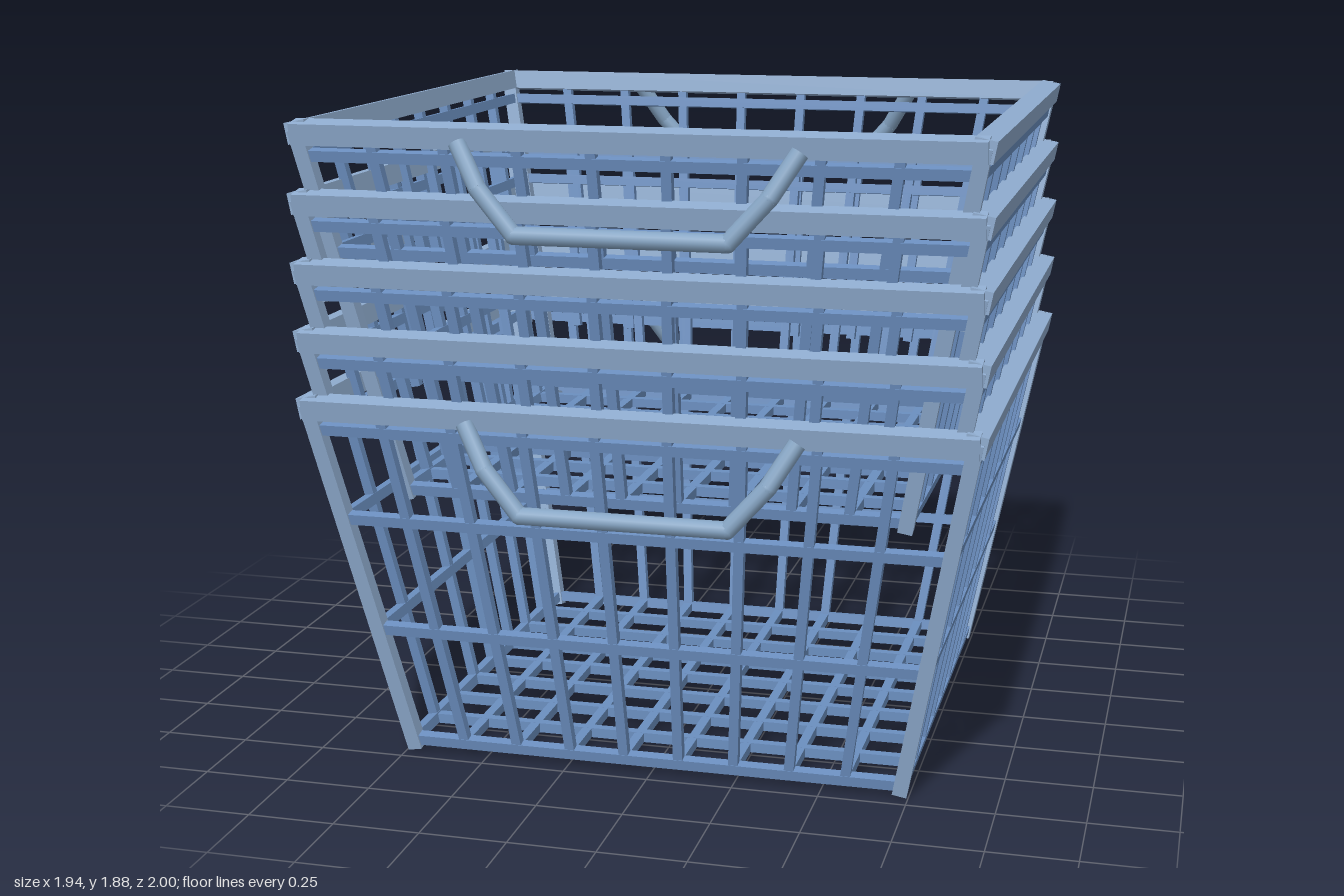
import * as THREE from 'three';
import { mergeGeometries } from 'three/addons/utils/BufferGeometryUtils.js';

const V = (x, y, z) => new THREE.Vector3(x, y, z);

const frameMat = new THREE.MeshStandardMaterial({ color: 0x8faccf });
frameMat.name = 'light blue frame';
const wireMat = new THREE.MeshStandardMaterial({ color: 0x6b8fc0 });
wireMat.name = 'blue wire';
const handleMat = new THREE.MeshStandardMaterial({ color: 0x86a5c4 });
handleMat.name = 'grey blue handle';

// Basket dimensions: half widths at the bottom and at the rim
const Y0 = 0.035, Y1 = 1.076, STEP = 0.192, LAYERS = 5;
const halfX = y => 0.73 + 0.204 * (y - Y0) / (Y1 - Y0);
const halfZ = y => 0.69 + 0.195 * (y - Y0) / (Y1 - Y0);
const NX = 9, NZ = 8; // wire divisions along x and z

// Square bar from a to b, with one face turned towards the given normal
function bar(a, b, size, normal) {
  const dir = b.clone().sub(a);
  const length = dir.length();
  dir.normalize();
  const side = V().crossVectors(normal, dir).normalize();
  const out = V().crossVectors(dir, side);
  const g = new THREE.BoxGeometry(size, size, length);
  const m = new THREE.Matrix4().makeBasis(side, out, dir);
  m.setPosition(a.clone().add(b).multiplyScalar(0.5));
  return g.applyMatrix4(m);
}

function part(name, geometries, material) {
  const mesh = new THREE.Mesh(mergeGeometries(geometries), material);
  mesh.name = name;
  return mesh;
}

// The four walls: a point on the wall at t (-1..1) and height y
const walls = [];
for (const s of [1, -1]) {
  walls.push({
    at: (t, y) => V(t * halfX(y), y, s * halfZ(y)),
    normal: V(0, -0.187, s).normalize(), n: NX,
  });
  walls.push({
    at: (t, y) => V(s * halfX(y), y, t * halfZ(y)),
    normal: V(s, -0.196, 0).normalize(), n: NZ,
  });
}

// Bent carrying handle on the front or back
function makeHandle(s) {
  const half = [V(0.465, 1.06, 0.912), V(0.395, 0.945, 0.955), V(0.29, 0.828, 0.975)];
  const pts = [...half, ...half.slice().reverse().map(p => V(-p.x, p.y, p.z))];
  const geos = [];
  for (let i = 0; i < pts.length; i++) {
    const a = pts[i].clone();
    a.z *= s;
    if (i > 0 && i < pts.length - 1) geos.push(new THREE.SphereGeometry(0.025, 12, 8).translate(a.x, a.y, a.z));
    if (i === pts.length - 1) break;
    const b = pts[i + 1].clone();
    b.z *= s;
    const dir = b.clone().sub(a);
    const g = new THREE.CylinderGeometry(0.025, 0.025, dir.length(), 12);
    const q = new THREE.Quaternion().setFromUnitVectors(V(0, 1, 0), dir.normalize());
    g.applyQuaternion(q);
    const c = a.add(b).multiplyScalar(0.5);
    geos.push(g.translate(c.x, c.y, c.z));
  }
  return part(s > 0 ? 'frontHandle' : 'backHandle', geos, handleMat);
}

// Full baskets have floor and handles; nested ones only the upper part
function makeBasket(full) {
  const basket = new THREE.Group();
  const low = full ? 0.02 : 0.8;
  const rim = [], posts = [], uprights = [], rails = [], floor = [];

  for (const w of walls) {
    rim.push(bar(w.at(-1.014, Y1), w.at(1.014, Y1), 0.06, w.normal));
    for (let i = 1; i < w.n; i++) {
      const t = -1 + 2 * i / w.n;
      uprights.push(bar(w.at(t, low), w.at(t, Y1), 0.028, w.normal));
    }
    for (const y of full ? [Y0, 0.395, 0.742, 1.013] : [1.013]) {
      rails.push(bar(w.at(-0.985, y), w.at(0.985, y), 0.031, w.normal));
    }
  }
  for (const sx of [1, -1]) for (const sz of [1, -1]) {
    const p = y => V(sx * halfX(y), y, sz * halfZ(y));
    posts.push(bar(p(full ? 0.006 : low), p(Y1 + 0.01), 0.042, V(0, -0.187, sz)));
  }
  basket.add(part('rim', rim, frameMat), part('cornerPosts', posts, frameMat));
  basket.add(part('uprightWires', uprights, wireMat), part('wallRails', rails, wireMat));

  if (full) {
    const hx = halfX(Y0), hz = halfZ(Y0), up = V(0, 1, 0);
    for (let i = 1; i < NX; i++) {
      const x = hx * (-1 + 2 * i / NX);
      floor.push(bar(V(x, Y0, -hz), V(x, Y0, hz), 0.028, up));
    }
    for (let i = 1; i < NZ; i++) {
      const z = hz * (-1 + 2 * i / NZ);
      floor.push(bar(V(-hx, Y0, z), V(hx, Y0, z), 0.029, up));
    }
    basket.add(part('floorGrid', floor, wireMat), makeHandle(1), makeHandle(-1));
  }
  return basket;
}

export function createModel() {
  const model = new THREE.Group();
  model.name = 'basketStack';
  for (let i = 0; i < LAYERS; i++) {
    const full = i === 0 || i === LAYERS - 1;
    const basket = makeBasket(full);
    basket.name = full ? (i ? 'topBasket' : 'bottomBasket') : 'nestedBasket' + i;
    basket.position.y = i * STEP;
    model.add(basket);
  }
  return model;
}
